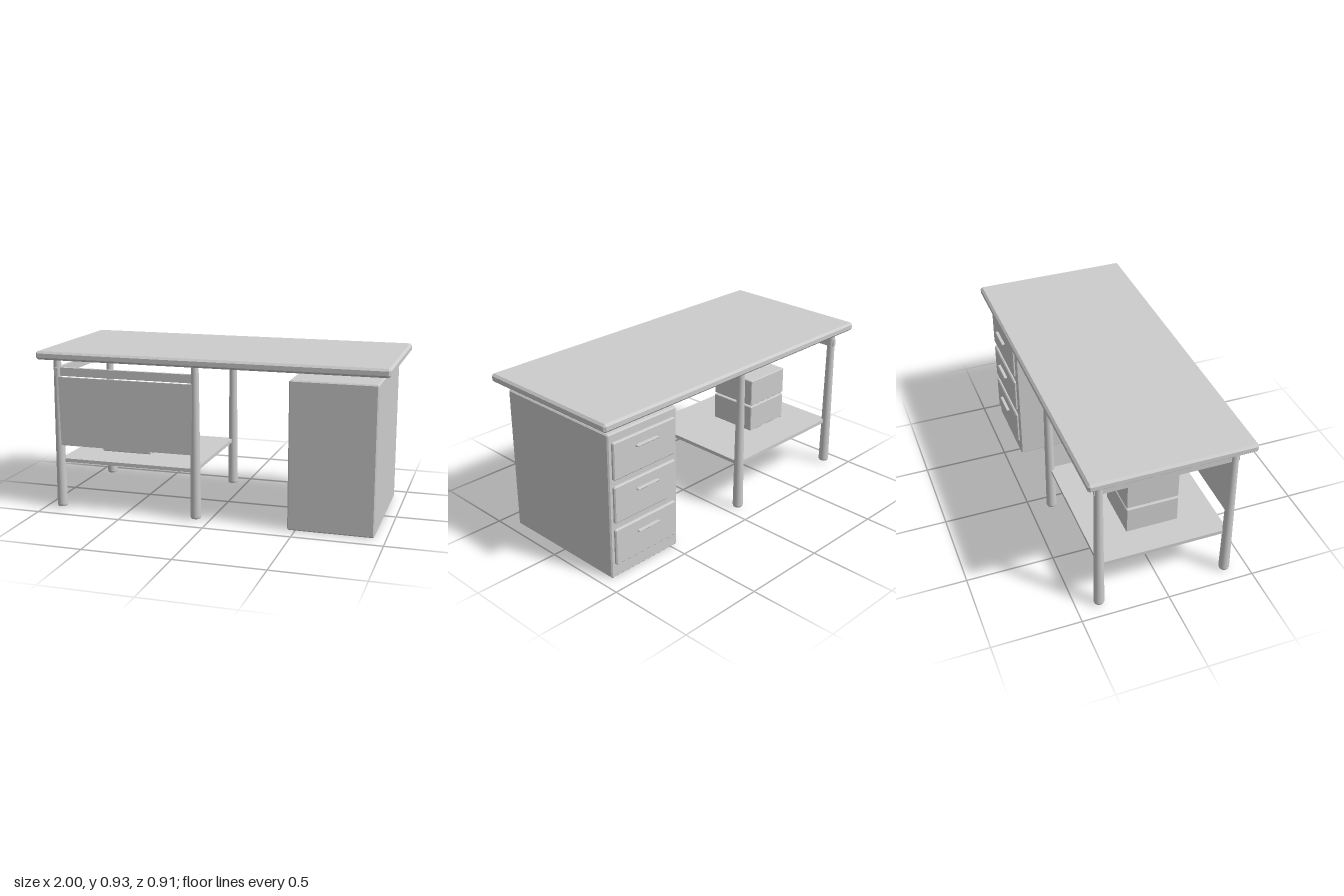
import * as THREE from 'three';
import { ConvexGeometry } from 'three/addons/geometries/ConvexGeometry.js';

export function createModel() {
  const grey = new THREE.MeshStandardMaterial({ color: 0xcccccc });
  grey.name = 'grey';
  const desk = new THREE.Group();
  desk.name = 'desk';

  function add(name, geometry, x, y, z, parent = desk) {
    const mesh = new THREE.Mesh(geometry, grey);
    mesh.name = name;
    mesh.position.set(x, y, z);
    parent.add(mesh);
    return mesh;
  }

  // Box with every edge cut by a flat chamfer c
  function chamferBox(w, h, d, c) {
    const points = [];
    for (const sx of [-1, 1]) for (const sy of [-1, 1]) for (const sz of [-1, 1]) {
      for (let axis = 0; axis < 3; axis++) {
        const half = [w / 2, h / 2, d / 2].map((v, i) => (i === axis ? v : v - c));
        points.push(new THREE.Vector3(sx * half[0], sy * half[1], sz * half[2]));
      }
    }
    return new ConvexGeometry(points);
  }

  // Place a box by its minimum and maximum corners
  function span(name, min, max, c = 0, parent = desk) {
    const size = max.map((v, i) => v - min[i]);
    const mid = max.map((v, i) => (v + min[i]) / 2);
    const geometry = c ? chamferBox(...size, c) : new THREE.BoxGeometry(...size);
    return add(name, geometry, ...mid, parent);
  }

  // Desktop slab
  span('desktop', [-1, 0.885, -0.456], [1, 0.933, 0.456], 0.012);

  // Drawer cabinet, drawers facing the back
  const cabinet = new THREE.Group();
  cabinet.name = 'cabinet';
  desk.add(cabinet);
  span('cabinetBody', [0.455, 0, -0.398], [0.935, 0.837, 0.398], 0.007, cabinet);
  for (const y of [0.185, 0.435, 0.683]) {
    span('drawerFront', [0.48, y - 0.106, -0.413], [0.912, y + 0.106, -0.385], 0.006, cabinet);
    add('drawerHandle', chamferBox(0.15, 0.011, 0.02, 0.003), 0.695, y + 0.048, -0.427, cabinet);
  }

  // Four tapered round legs
  const legX = [-0.905, -0.08];
  const legZ = 0.371;
  for (const x of legX) for (const z of [-legZ, legZ]) {
    add('leg', new THREE.CylinderGeometry(0.0215, 0.03, 0.865, 32), x, 0.4525, z);
    add('legFoot', new THREE.CylinderGeometry(0.03, 0.027, 0.01, 32), x, 0.015, z);
  }

  // Rails: one across the front, one along the side with ends through the legs
  span('frontRail', [legX[0], 0.785, 0.361], [legX[1], 0.833, 0.381]);
  span('sideRail', [-0.915, 0.785, -0.396], [-0.895, 0.833, 0.396]);

  // Modesty panel and low shelf
  span('frontPanel', [-0.895, 0.38, 0.38], [-0.087, 0.78, 0.392]);
  span('shelf', [-0.905, 0.275, -legZ], [-0.08, 0.296, legZ]);

  // Two boxes stacked on the shelf
  span('lowerStorageBox', [-0.735, 0.296, -0.15], [-0.435, 0.455, 0.15], 0.004);
  span('upperStorageBox', [-0.735, 0.465, -0.15], [-0.435, 0.625, 0.15], 0.004);

  return desk;
}
